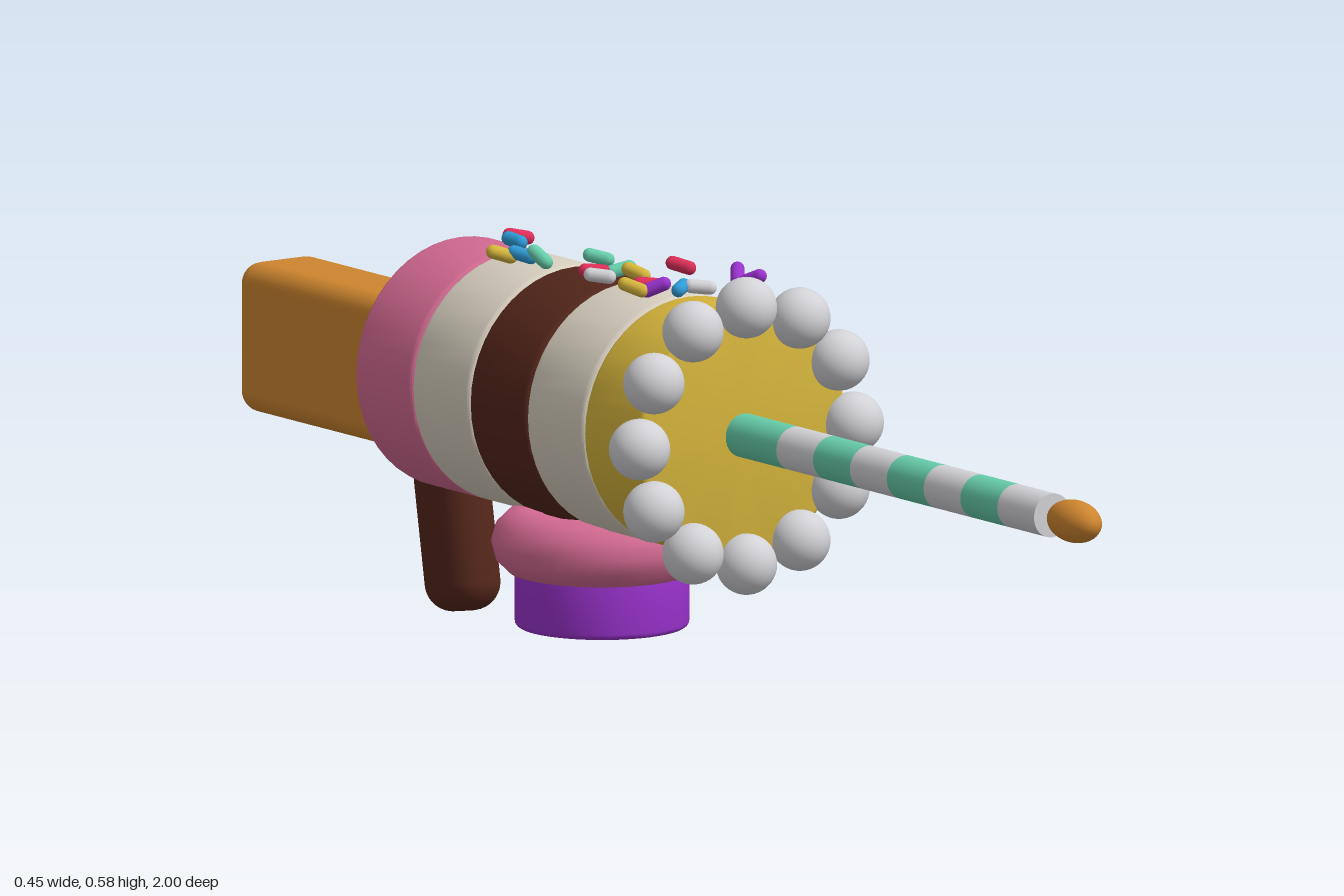
import * as THREE from 'three';
import { toCreasedNormals } from 'three/addons/utils/BufferGeometryUtils.js';
import { RoundedBoxGeometry } from 'three/addons/geometries/RoundedBoxGeometry.js';

const AXIS_Y = 0.36;

function makeMaterials() {
  const colours = {
    gold: 0xd6b53c, cream: 0xd8d0c0, chocolate: 0x54261a, pink: 0xd46a92, caramel: 0xcd852f,
    purple: 0x9932cc, white: 0xd2d2d6, mint: 0x66cdaa, red: 0xdc2e58, blue: 0x2e9bd6,
  };
  const mats = {};
  for (const [name, color] of Object.entries(colours)) {
    mats[name] = new THREE.MeshStandardMaterial({ color });
    mats[name].name = name;
  }
  return mats;
}

// Solid disc along y with softened rims
function softDisc(radius, height, bevel) {
  const points = [new THREE.Vector2(0, -height / 2)];
  for (const side of [-1, 1]) {
    for (let i = 0; i <= 4; i++) {
      const a = (side < 0 ? i - 4 : i) * Math.PI / 8;
      points.push(new THREE.Vector2(
        radius - bevel + bevel * Math.cos(a),
        side * (height / 2 - bevel) + bevel * Math.sin(a)));
    }
  }
  points.push(new THREE.Vector2(0, height / 2));
  return toCreasedNormals(new THREE.LatheGeometry(points, 48), 0.5);
}

export function createModel() {
  const model = new THREE.Group();
  model.name = 'candyBlaster';
  const mats = makeMaterials();
  const add = (name, geometry, colour, x, y, z, parent = model) => {
    const mesh = new THREE.Mesh(geometry, mats[colour]);
    mesh.name = name;
    mesh.position.set(x, y, z);
    parent.add(mesh);
    return mesh;
  };

  // Body: five layered discs from front to back
  const layer = 0.139;
  const layerGeometry = softDisc(0.177, layer, 0.008).rotateX(Math.PI / 2);
  ['gold', 'cream', 'chocolate', 'cream', 'pink'].forEach((colour, i) =>
    add('bodyLayer', layerGeometry, colour, 0, AXIS_Y, 0.145 - (i + 0.5) * layer));

  // Ring of icing pearls round the front rim
  const pearl = new THREE.SphereGeometry(0.043, 28, 20);
  for (let i = 0; i < 12; i++) {
    const a = i * Math.PI / 6;
    add('icingPearl', pearl, 'white', 0.182 * Math.sin(a), AXIS_Y + 0.182 * Math.cos(a), 0.151);
  }

  // Striped barrel; the last stripe runs into the body
  const stripe = 0.0895;
  for (let i = 0; i < 8; i++) {
    const length = i === 7 ? stripe + 0.04 : stripe;
    const geometry = new THREE.CylinderGeometry(0.031, 0.031, length, 32).rotateX(Math.PI / 2);
    add('barrelStripe', geometry, i % 2 ? 'mint' : 'white', 0, AXIS_Y, 0.894 - i * stripe - length / 2);
  }
  add('barrelTip', new THREE.SphereGeometry(0.03, 28, 20), 'caramel', 0, AXIS_Y, 0.948)
    .scale.set(1, 1, 1.73);

  // Stock and slanted grip
  add('stock', new RoundedBoxGeometry(0.134, 0.212, 0.38, 5, 0.03), 'caramel', 0, 0.334, -0.81);
  add('grip', new RoundedBoxGeometry(0.084, 0.272, 0.12, 6, 0.04), 'chocolate', 0, 0.142, -0.556)
    .rotation.x = -0.18;

  // Ring and cap hanging under the body
  add('magazineRing', new THREE.TorusGeometry(0.107, 0.048, 12, 40).rotateX(Math.PI / 2), 'pink', 0, 0.158, -0.2);
  add('magazineCap', softDisc(0.122, 0.09, 0.008), 'purple', 0, 0.083, -0.2);

  // Sprinkles: colour, x, z, heading, pitch
  const sprinkles = [
    ['red', 0.012, -0.42, 1.2, 0.2], ['blue', -0.01, -0.398, 0.1, 0.1],
    ['gold', -0.085, -0.322, 1.1, 0.3], ['blue', -0.064, -0.302, 0.5, 0.2],
    ['mint', -0.053, -0.275, 0.2, 0.5], ['mint', 0.012, -0.225, 0.7, 0.2],
    ['red', -0.053, -0.143, 1.2, 0.1], ['mint', -0.016, -0.132, 1.3, -0.2],
    ['white', -0.068, -0.108, 0.8, 0.1], ['gold', -0.012, -0.1, 0.4, 0.3],
    ['red', 0.07, -0.108, 0.5, 0.2], ['gold', -0.08, -0.01, 0.6, 0.3],
    ['red', -0.05, -0.015, 1.1, 0.1], ['purple', -0.055, 0.008, 0.9, -0.4],
    ['blue', -0.028, 0.032, -0.9, 0.1], ['white', -0.002, 0.042, 1, 0.1],
    ['purple', 0.095, -0.006, -0.6, 0.5], ['purple', 0.093, 0.033, 0.4, -0.4],
  ];
  const sprinkle = new THREE.CapsuleGeometry(0.01, 0.026, 5, 12).rotateX(Math.PI / 2);
  const topping = new THREE.Group();
  topping.name = 'sprinkles';
  model.add(topping);
  for (const [colour, x, z, heading, pitch] of sprinkles) {
    add('sprinkle', sprinkle, colour, x, 0.555, z, topping).rotation.set(pitch, heading, 0, 'YXZ');
  }

  return model;
}
